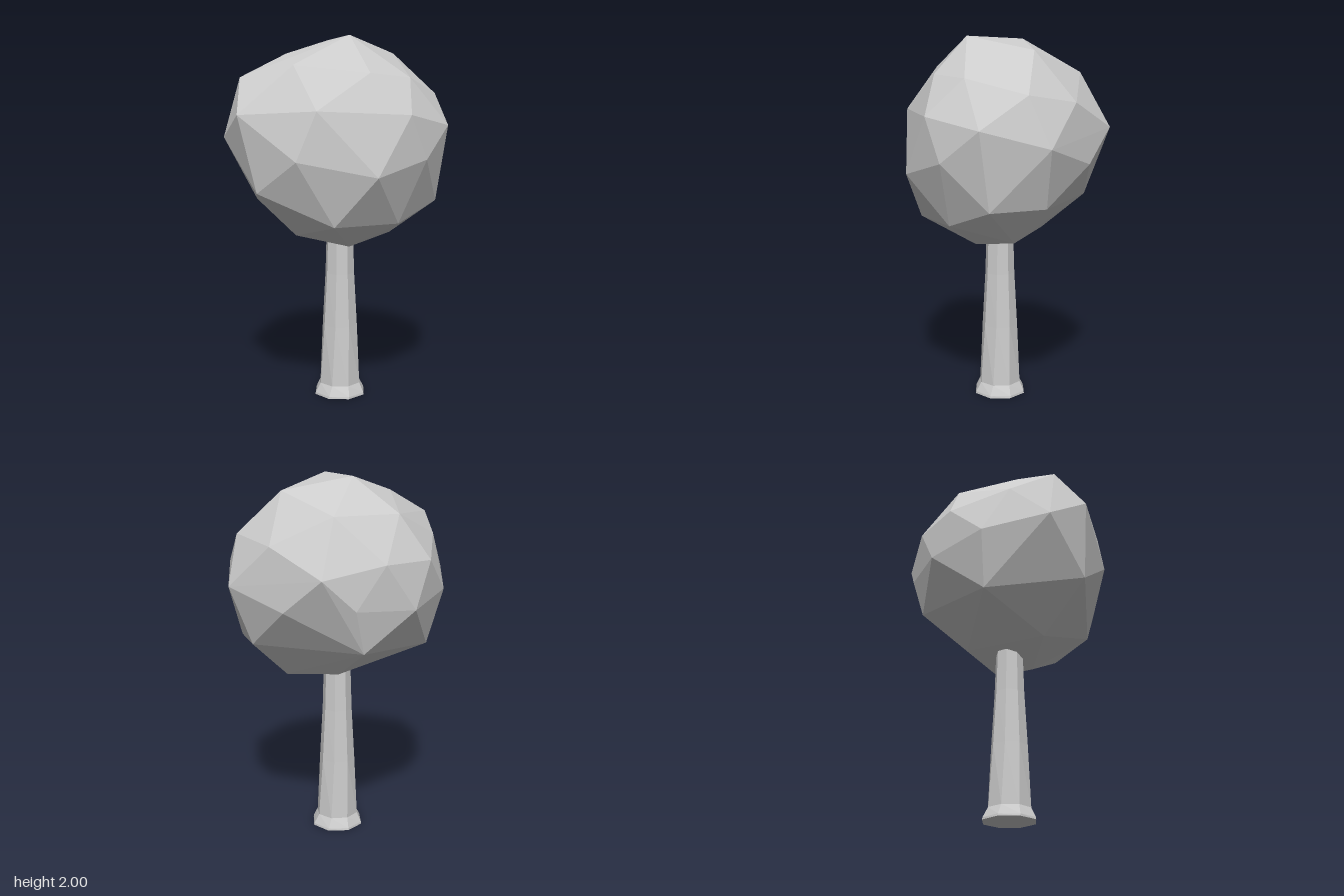
import * as THREE from 'three';
import { ConvexGeometry } from 'three/addons/geometries/ConvexGeometry.js';

// Irregular faceted crown: corner points [x, y, z] in bands from top to bottom
const crownBands = {
  top: [[-0.02, 2, 0.18], [0, 1.99, -0.15], [0.35, 1.92, -0.02], [-0.27, 1.91, -0.09]],
  shoulder: [
    [-0.35, 1.84, 0.21], [0, 1.8, 0.38], [0.26, 1.78, 0.33], [0.54, 1.7, 0.12],
    [0.5, 1.66, -0.18], [0.24, 1.81, -0.37], [-0.13, 1.81, -0.39], [-0.46, 1.68, -0.23], [-0.56, 1.78, -0.01],
  ],
  upperMiddle: [
    [-0.31, 1.61, 0.41], [0.17, 1.59, 0.51], [0.48, 1.53, 0.36], [0.63, 1.44, 0.04],
    [0.37, 1.52, -0.48], [0.04, 1.58, -0.54], [-0.26, 1.58, -0.49], [-0.63, 1.59, 0.14],
  ],
  lowerMiddle: [
    [-0.41, 1.36, 0.38], [-0.03, 1.28, 0.535], [0.28, 1.36, 0.48], [0.48, 1.34, -0.28],
    [0.2, 1.36, -0.52], [-0.14, 1.34, -0.54], [-0.43, 1.4, -0.38], [-0.63, 1.47, -0.08],
  ],
  skirt: [
    [-0.2, 1.02, 0.38], [0.17, 1.02, 0.38], [0.45, 1.12, 0.29], [0.52, 1.13, 0],
    [0.13, 1.13, -0.48], [-0.36, 1.1, -0.33], [-0.54, 1.19, 0.17],
  ],
  underside: [[0, 0.87, 0.14], [0.29, 0.92, 0.06], [0.12, 0.96, -0.21], [-0.28, 0.94, 0.06]],
};

export function createModel() {
  const tree = new THREE.Group();
  tree.name = 'tree';
  const grey = new THREE.MeshStandardMaterial({ color: 0xcccccc, flatShading: true });
  grey.name = 'pale grey';

  const points = Object.values(crownBands).flat().map((p) => new THREE.Vector3(...p));
  const crown = new THREE.Mesh(new ConvexGeometry(points), grey);
  crown.name = 'crown';
  tree.add(crown);

  // Eight-sided tapering trunk with a flared, closed foot
  const profile = [[0, 0], [0.148, 0], [0.146, 0.012], [0.119, 0.065], [0.1, 0.4], [0.083, 0.7], [0.074, 1], [0, 1]]
    .map(([r, y]) => new THREE.Vector2(r, y));
  const trunkShape = new THREE.LatheGeometry(profile, 8, 0.12);
  const pos = trunkShape.attributes.position;
  for (let i = 0; i < pos.count; i++) {
    // Slight twist towards the foot
    const y = pos.getY(i);
    const turn = -0.2 * Math.exp(-y * 6);
    const x = pos.getX(i), z = pos.getZ(i);
    pos.setXYZ(i, x * Math.cos(turn) + z * Math.sin(turn) + 0.01, y, z * Math.cos(turn) - x * Math.sin(turn) - 0.003);
  }
  trunkShape.computeVertexNormals();
  const trunk = new THREE.Mesh(trunkShape, grey);
  trunk.name = 'trunk';
  tree.add(trunk);
  return tree;
}
